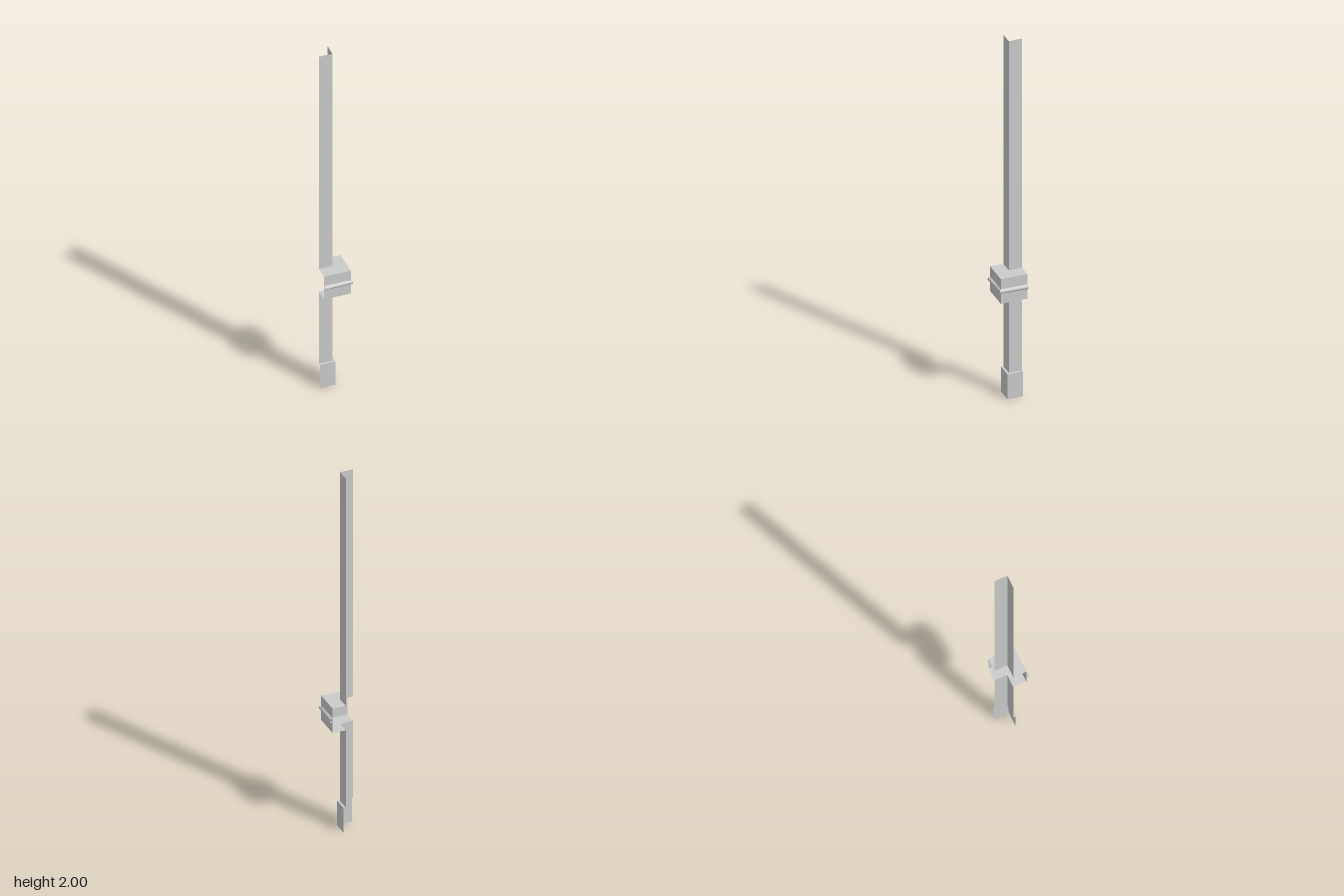
import * as THREE from 'three';

const END = -0.077; // where both legs of the corner trim stop

const material = new THREE.MeshStandardMaterial({ color: 0xcccccc, side: THREE.DoubleSide });

// Sweeps a profile of [offset, y] points round the L-shaped corner, mitred where
// the front leg (facing +z) meets the side leg (facing +x).
// endShift pushes the free ends outward.
function cornerSweep(name, profile, { endShift = 0, smooth = false } = {}) {
  const positions = [];
  const index = [];
  for (const leg of ['front', 'side']) {
    const base = positions.length / 3;
    for (const [o, y] of profile) {
      const corner = [o, y, o];
      if (leg === 'front') positions.push(END, y, o + endShift, ...corner);
      else positions.push(...corner, o + endShift, y, END);
    }
    for (let i = 0; i < profile.length - 1; i++) {
      const a = base + i * 2;
      index.push(a, a + 1, a + 3, a, a + 3, a + 2);
    }
  }
  let geometry = new THREE.BufferGeometry();
  geometry.setAttribute('position', new THREE.Float32BufferAttribute(positions, 3));
  geometry.setIndex(index);
  if (!smooth) geometry = geometry.toNonIndexed();
  geometry.computeVertexNormals();
  const mesh = new THREE.Mesh(geometry, material);
  mesh.name = name;
  return mesh;
}

export function createModel() {
  const model = new THREE.Group();
  model.name = 'cornerTrim';

  const post = -0.007;  // face offset of the slim post
  const plinth = 0.005; // face offset of the foot
  const block = 0.063;  // face offset of the collar block

  // Foot with a narrow ledge back to the post
  model.add(cornerSweep('foot', [[plinth, 0], [plinth, 0.14], [post, 0.14]]));

  // Slim post, interrupted by the collar
  model.add(cornerSweep('lowerPost', [[post, 0.14], [post, 0.577]]));
  model.add(cornerSweep('upperPost', [[post, 0.715], [post, 2]]));

  // Hollow collar block with top and bottom caps
  model.add(cornerSweep('collar', [[post, 0.577], [block, 0.577], [block, 0.715], [post, 0.715]]));

  // Rounded bead round the collar, standing out a little more at its ends
  const bead = [];
  for (let i = 0; i <= 12; i++) {
    const t = -Math.PI / 2 + (Math.PI * i) / 12;
    bead.push([0.059 + 0.0125 * Math.cos(t), 0.646 + 0.0125 * Math.sin(t)]);
  }
  model.add(cornerSweep('collarBead', bead, { endShift: 0.005, smooth: true }));

  return model;
}
